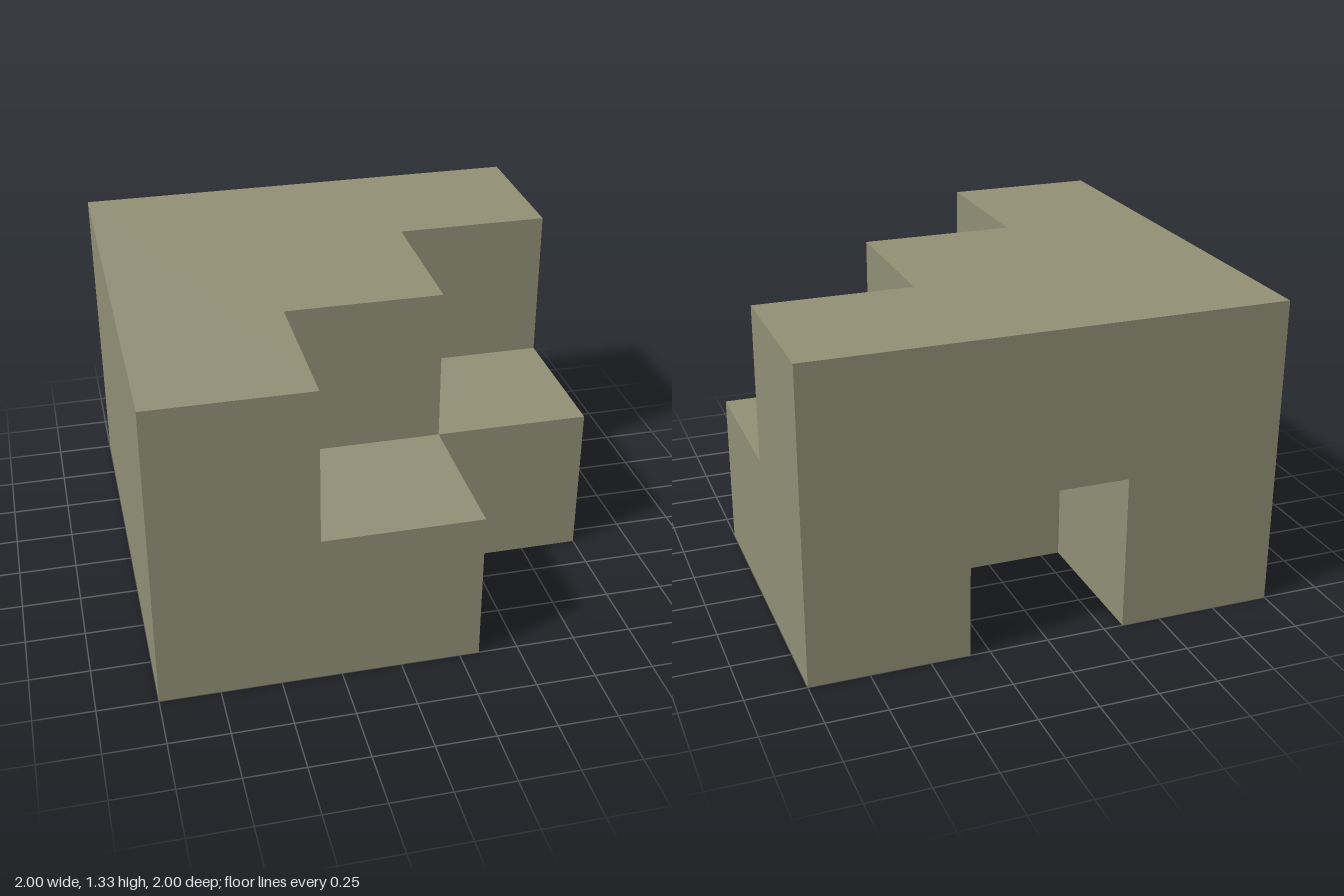
import * as THREE from 'three';

const CELL = 2 / 3; // the block is a 3 x 2 x 3 grid of cubes

// Extrudes a floor outline, given as [x, z] grid lines from 0 to 3, into a one-cube-high layer.
function layer(name, outline, level, material) {
  const shape = new THREE.Shape(
    outline.map(([x, z]) => new THREE.Vector2(x * CELL - 1, 1 - z * CELL))
  );
  const geometry = new THREE.ExtrudeGeometry(shape, { depth: CELL, bevelEnabled: false });
  geometry.rotateX(-Math.PI / 2);
  geometry.translate(0, level * CELL, 0);
  const mesh = new THREE.Mesh(geometry, material);
  mesh.name = name;
  return mesh;
}

export function createModel() {
  const olive = new THREE.MeshStandardMaterial({ color: 0x918f75 });
  olive.name = 'olive grey';

  const model = new THREE.Group();
  model.name = 'steppedBlock';

  // Lower layer: back notch in the middle, front left corner missing
  model.add(layer('lowerLayer', [
    [0, 0], [1, 0], [1, 1], [2, 1], [2, 0], [3, 0],
    [3, 2], [2, 2], [2, 3], [0, 3],
  ], 0, olive));

  // Upper layer: staircase outline that leaves two ledges
  model.add(layer('upperLayer', [
    [0, 0], [3, 0], [3, 1], [2, 1], [2, 2], [1, 2], [1, 3], [0, 3],
  ], 1, olive));

  return model;
}
